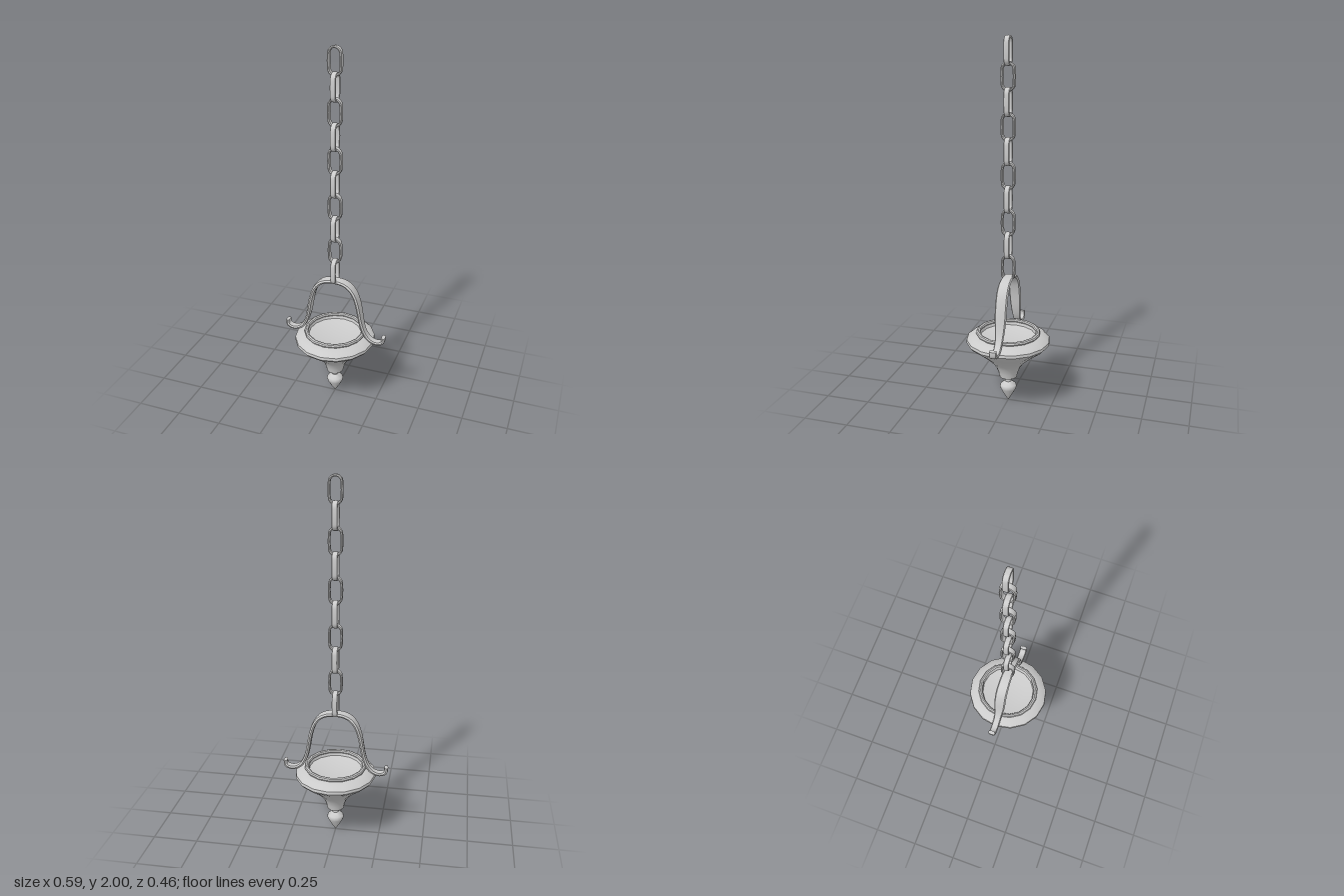
import * as THREE from 'three';
import { toCreasedNormals } from 'three/addons/utils/BufferGeometryUtils.js';

const material = new THREE.MeshStandardMaterial({ color: 0xcccccc });
const solid = new THREE.MeshStandardMaterial({ color: 0xcccccc, side: THREE.DoubleSide });
const SIDES = 16;

function part(name, geometry, mat = material) {
  const mesh = new THREE.Mesh(toCreasedNormals(geometry, 0.75), mat);
  mesh.name = name;
  return mesh;
}

// Sweep a rounded flat bar along a curve in the xy plane.
// halfWidth(t) runs along z, halfThick in the plane of the curve.
function sweepBar(curve, steps, halfWidth, halfThick, closed) {
  const N = 8, pos = [], idx = [];
  const rings = closed ? steps : steps + 1;
  const soft = (v) => Math.sign(v) * Math.pow(Math.abs(v), 0.65);
  for (let i = 0; i < rings; i++) {
    const t = i / steps, p = curve.getPoint(t), d = curve.getTangent(t);
    for (let j = 0; j < N; j++) {
      const a = (j / N) * Math.PI * 2;
      const n = soft(Math.cos(a)) * halfThick, z = soft(Math.sin(a)) * halfWidth(t);
      pos.push(p.x + d.y * n, p.y - d.x * n, z);
    }
  }
  for (let i = 0; i < steps; i++) {
    for (let j = 0; j < N; j++) {
      const k = (j + 1) % N, a = i * N, b = ((i + 1) % rings) * N;
      idx.push(a + j, b + j, a + k, b + j, b + k, a + k);
    }
  }
  if (!closed) {
    const last = (rings - 1) * N;
    for (let j = 1; j < N - 1; j++) {
      idx.push(0, j, j + 1, last, last + j + 1, last + j);
    }
  }
  const g = new THREE.BufferGeometry();
  g.setAttribute('position', new THREE.Float32BufferAttribute(pos, 3));
  g.setIndex(idx);
  return g;
}

function lathe(points) {
  return new THREE.LatheGeometry(points.map(([r, y]) => new THREE.Vector2(r, y)), SIDES);
}

export function createModel() {
  const model = new THREE.Group();
  model.name = 'hangingLamp';

  // Chain: flat oval links, alternately turned by 90 degrees
  const chain = new THREE.Group();
  chain.name = 'chain';
  const r = 0.031, h = 0.037, oval = [];
  for (let i = 0; i < 14; i++) {
    const top = i < 7, a = ((top ? i : i - 1) / 6) * Math.PI;
    oval.push(new THREE.Vector3(r * Math.cos(a), r * Math.sin(a) + (top ? h : -h), 0));
  }
  // second half circle runs from PI to 2 PI
  for (let i = 7; i < 14; i++) {
    const a = Math.PI + ((i - 7) / 6) * Math.PI;
    oval[i].set(r * Math.cos(a), r * Math.sin(a) - h, 0);
  }
  const linkCurve = new THREE.CatmullRomCurve3(oval, true, 'centripetal');
  const linkGeometry = sweepBar(linkCurve, 28, () => 0.0155, 0.0065, true);
  for (let i = 0; i < 10; i++) {
    const link = part('chainLink' + (i + 1), linkGeometry);
    link.position.y = 1.9255 - i * 0.126;
    link.rotation.y = (i % 2) * Math.PI / 2;
    chain.add(link);
  }
  model.add(chain);

  // Handle: arched strap with hooked ends, broader over the arch
  const half = [
    [0.283, 0.43], [0.28, 0.402], [0.262, 0.39], [0.235, 0.388], [0.2, 0.405],
    [0.172, 0.445], [0.154, 0.505], [0.143, 0.57], [0.132, 0.62], [0.112, 0.675],
    [0.08, 0.713], [0.04, 0.73],
  ];
  const path = [...half, [0, 0.733], ...half.map(([x, y]) => [-x, y]).reverse()];
  const strap = new THREE.CatmullRomCurve3(path.map(([x, y]) => new THREE.Vector3(x, y, 0)));
  const strapWidth = (t) => {
    const s = Math.abs(t - 0.5) * 2;
    return 0.021 + 0.012 * (1 - THREE.MathUtils.smoothstep(s, 0.4, 0.65))
      - 0.003 * (1 - THREE.MathUtils.smoothstep(s, 0, 0.25));
  };
  model.add(part('handle', sweepBar(strap, 64, strapWidth, 0.011, false)));

  // Bowl with its shallow inner dish
  const bowl = new THREE.Group();
  bowl.name = 'bowl';
  bowl.scale.x = 0.965;
  bowl.add(part('bowlBody', lathe([
    [0, 0.15], [0.049, 0.15], [0.055, 0.178], [0.068, 0.21], [0.088, 0.238], [0.122, 0.272],
    [0.17, 0.312], [0.218, 0.348], [0.232, 0.364], [0.23, 0.38], [0.208, 0.398],
    [0.168, 0.412], [0.157, 0.412], [0.152, 0.395], [0.1, 0.385], [0, 0.38],
  ]), solid));

  // Rim ring
  const rim = new THREE.TorusGeometry(0.166, 0.012, 8, SIDES);
  rim.rotateX(Math.PI / 2);
  rim.translate(0, 0.417, 0);
  bowl.add(part('rimRing', rim));
  model.add(bowl);

  // Pointed finial under the bowl
  model.add(part('finial', lathe([
    [0.018, 0.16], [0.018, 0.12], [0.026, 0.113], [0.043, 0.1],
    [0.047, 0.088], [0.042, 0.073], [0.022, 0.036], [0, 0],
  ].reverse())));

  return model;
}
